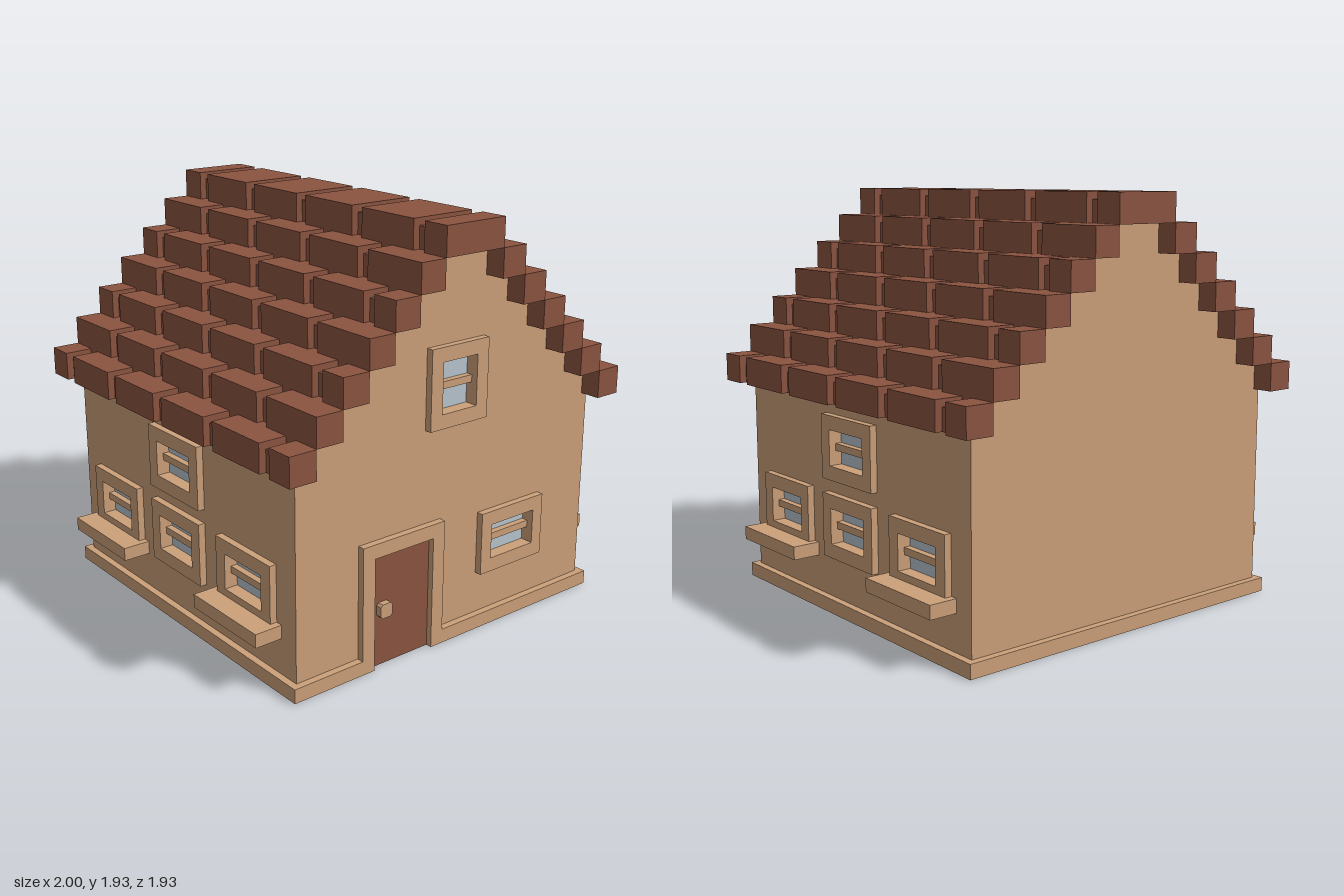
import * as THREE from 'three';

const U = 1 / 15; // building module: every size is a multiple of it
const mat = (name, color) => Object.assign(new THREE.MeshStandardMaterial({ color }), { name });

export function createModel() {
  const house = new THREE.Group();
  house.name = 'house';
  const stone = mat('sandstone', 0xcba07a);
  const brown = mat('brown tile', 0x8b5441);
  const glass = mat('pale glass', 0xb7c4ce);

  const add = (parent, name, geometry, material) => {
    const mesh = new THREE.Mesh(geometry, material);
    mesh.name = name;
    parent.add(mesh);
    return mesh;
  };
  // box given by its limits
  const box = (parent, name, material, x0, x1, y0, y1, z0, z1) => {
    const mesh = add(parent, name, new THREE.BoxGeometry(x1 - x0, y1 - y0, z1 - z0), material);
    mesh.position.set((x0 + x1) / 2, (y0 + y1) / 2, (z0 + z1) / 2);
    return mesh;
  };
  const shapeOf = pts => new THREE.Shape(pts.map(p => new THREE.Vector2(p[0], p[1])));
  const rect = (x0, x1, y0, y1) => [[x0, y0], [x1, y0], [x1, y1], [x0, y1]];
  // flat panel with rectangular holes, from depth z0 to z1
  const panel = (parent, name, pts, holes, z0, z1) => {
    const shape = shapeOf(pts);
    holes.forEach(h => shape.holes.push(shapeOf(rect(...h))));
    const geo = new THREE.ExtrudeGeometry(shape, { depth: z1 - z0, bevelEnabled: false });
    add(parent, name, geo, stone).position.z = z0;
  };

  const wallOut = 13 * U, frameOut = 13.5 * U, wallIn = 0.832;

  // window: frame and opening limits, and the lower edge of the crossbar
  const addWindow = (parent, w) => {
    const [x0, x1, y0, y1] = w.open;
    const g = new THREE.Group();
    g.name = 'window';
    parent.add(g);
    panel(g, 'windowFrame', rect(...w.frame), [w.open], wallOut, frameOut);
    box(g, 'windowPane', glass, x0 - 0.01, x1 + 0.01, y0 - 0.01, y1 + 0.01, 0.828, 0.836);
    box(g, 'windowBar', stone, x0, x1, w.bar, w.bar + U / 2, 0.834, wallOut);
    if (w.sill) box(g, 'windowSill', stone, x0 - 1.5 * U, x1 + 1.5 * U, 3.55 * U, 4.5 * U, wallOut, 1);
  };

  // stepped gable outline
  const gable = [[-wallOut, U], [wallOut, U], [wallOut, 1]];
  for (let k = 0; k < 6; k++) {
    const x = (12.5 - 2 * k) * U;
    gable.push([x, 1 + 2 * k * U], [x, 1 + 2 * (k + 1) * U]);
  }
  for (let i = gable.length - 1; i >= 2; i--) gable.push([-gable[i][0], gable[i][1]]);

  // front wall with two windows, and plain back wall
  const frontWindows = [
    { frame: [2.5 * U, 8.4 * U, 4 * U, 8.5 * U], open: [3.45 * U, 7.5 * U, 5 * U, 7.5 * U], bar: 6.05 * U },
    { frame: [-2.5 * U, 2.5 * U, 15.5 * U, 21 * U], open: [-1.5 * U, 1.5 * U, 16.5 * U, 20 * U], bar: 18 * U },
  ];
  const front = new THREE.Group();
  front.name = 'frontWall';
  panel(front, 'frontWallPanel', gable, frontWindows.map(w => w.open), wallIn, wallOut);
  frontWindows.forEach(w => addWindow(front, w));
  const back = new THREE.Group();
  back.name = 'backWall';
  back.rotation.y = Math.PI;
  panel(back, 'backWallPanel', gable, [], wallIn, wallOut);
  house.add(front, back);

  // side walls, four windows each
  const sideWindows = [-8, 0, 8].map(c => ({
    frame: [(c - 3) * U, (c + 3) * U, (c ? 4.5 : 4) * U, 8.5 * U],
    open: [(c - 2) * U, (c + 2) * U, 5 * U, 7.5 * U], bar: 6 * U, sill: c !== 0,
  }));
  sideWindows.push({ frame: [-3 * U, 3 * U, 9.5 * U, 14 * U], open: [-2 * U, 2 * U, 10.5 * U, 13 * U], bar: 11.5 * U });
  for (const s of [1, -1]) {
    const side = new THREE.Group();
    side.name = s > 0 ? 'leftWall' : 'rightWall';
    side.rotation.y = s * Math.PI / 2;
    panel(side, 'sideWallPanel', rect(-wallIn, wallIn, U, 1), sideWindows.map(w => w.open), wallIn, wallOut);
    sideWindows.forEach(w => addWindow(side, w));
    house.add(side);
  }

  // plinth with a notch at the door (drawn in plan, y = -z)
  const d0 = -7 * U, d1 = -2 * U, o = frameOut;
  const plan = shapeOf([[-o, -o], [d0, -o], [d0, -0.862], [d1, -0.862], [d1, -o], [o, -o], [o, o], [-o, o]]);
  const plinthGeo = new THREE.ExtrudeGeometry(plan, { depth: U, bevelEnabled: false });
  plinthGeo.rotateX(-Math.PI / 2);
  add(house, 'plinth', plinthGeo, stone);

  // door, surround and knob
  box(house, 'door', brown, d0, d1, 0, 8 * U, 0.862, 0.871);
  panel(house, 'doorFrame', [[d0 - U, U], [d0, U], [d0, 8 * U], [d1, 8 * U], [d1, U],
    [d1 + U, U], [d1 + U, 9 * U], [d0 - U, 9 * U]], [], wallOut, frameOut);
  const a = U / 2, b = U / 3;
  panel(house, 'doorKnob', [[-b, -a], [b, -a], [a, -b], [a, b], [b, a], [-b, a], [-a, b], [-a, -b]]
    .map(([x, y]) => [x - 6 * U, y + 4.05 * U]), [], 0.87, frameOut);

  // roof: stepped rows of bricks, joints sunk half a module
  const roof = new THREE.Group();
  roof.name = 'roof';
  house.add(roof);
  const end = 14.5 * U;
  for (let k = 0; k < 7; k++) {
    const ridge = k === 6;
    const y0 = 1 + 2 * k * U, y1 = y0 + 2 * U;
    const outer = (14.5 - 2 * k) * U, inner = outer - 2 * U;
    const joints = k % 2 ? [-9, -3, 3, 9] : [-12, -6, 0, 6, 12];
    for (const s of ridge ? [1] : [1, -1]) {
      const across = x => ridge ? [-x, x] : s > 0 ? [inner, x] : [-x, -inner];
      let z = -end;
      for (const j of joints) {
        const g0 = (j - 0.5) * U, g1 = (j + 0.5) * U;
        box(roof, 'roofBrick', brown, ...across(outer), y0, y1, z, g0);
        box(roof, 'roofJoint', brown, ...across(outer - U / 2), y0, y1 - U / 2, g0, g1);
        z = g1;
      }
      box(roof, 'roofBrick', brown, ...across(outer), y0, y1, z, end);
    }
    // filling between the two slopes
    if (!ridge) box(roof, 'roofCore', brown, -inner, inner, y0, y1, -12.5 * U, 12.5 * U);
  }
  return house;
}
